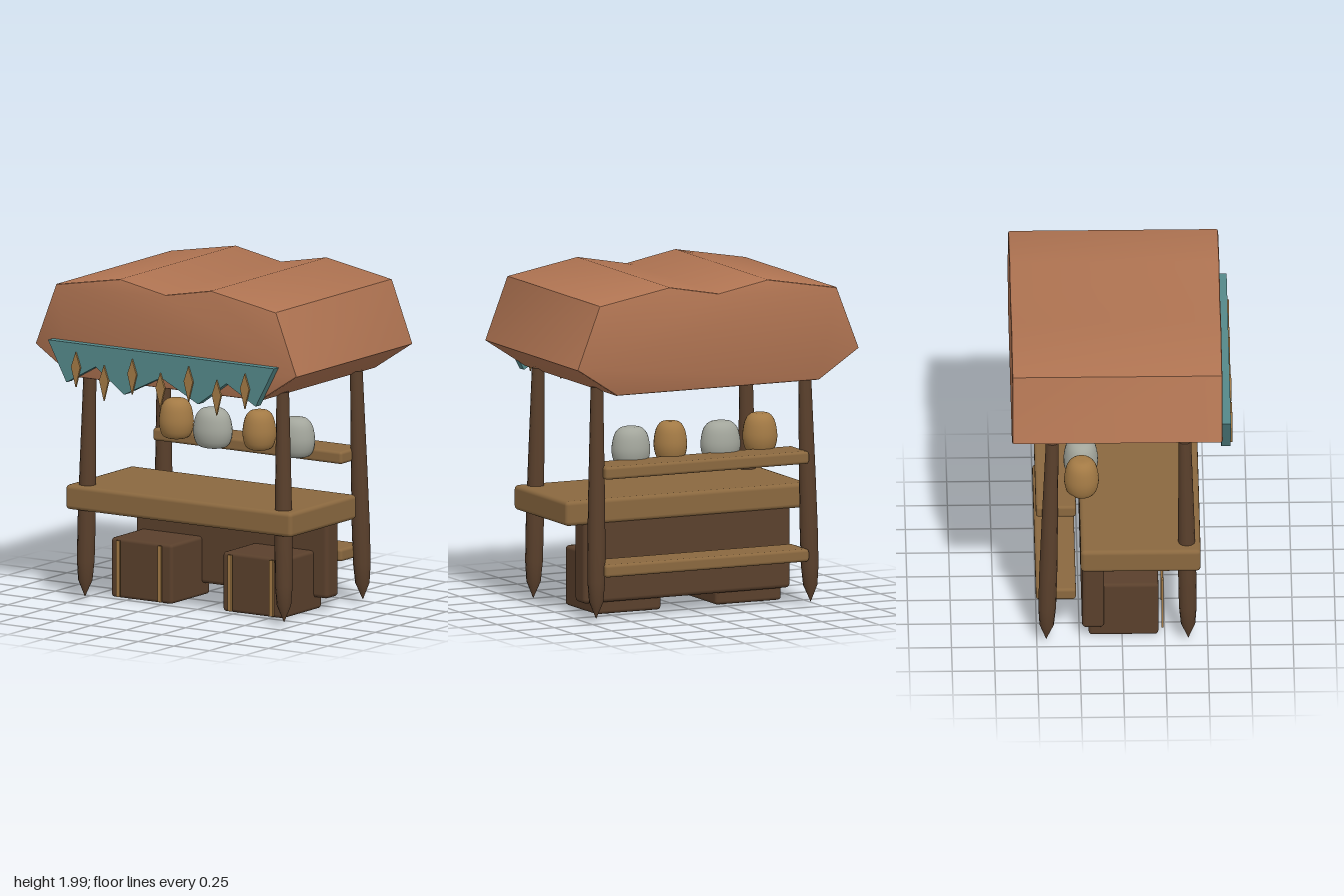
import * as THREE from 'three';
import { toCreasedNormals } from 'three/addons/utils/BufferGeometryUtils.js';
import { RoundedBoxGeometry } from 'three/addons/geometries/RoundedBoxGeometry.js';

const mat = (color, extra = {}) => new THREE.MeshStandardMaterial({ color, ...extra });
const clay = mat(0xb07452), darkWood = mat(0x5a402c), wood = mat(0x8a683f);
const teal = mat(0x55898a), stone = mat(0xa3a69c), ochre = mat(0xa37a45);

export function createModel() {
  const stall = new THREE.Group();
  stall.name = 'marketStall';

  const add = (name, geometry, material, x = 0, y = 0, z = 0) => {
    const mesh = new THREE.Mesh(geometry, material);
    mesh.name = name;
    mesh.position.set(x, y, z);
    stall.add(mesh);
    return mesh;
  };

  // Rounded box given by its extents on each axis
  const slab = (name, material, [x0, x1], [y0, y1], [z0, z1], r = 0.02) =>
    add(name, new RoundedBoxGeometry(x1 - x0, y1 - y0, z1 - z0, 2, r), material,
      (x0 + x1) / 2, (y0 + y1) / 2, (z0 + z1) / 2);

  const outline = (pts) => new THREE.Shape(pts.map(([x, y]) => new THREE.Vector2(x, y)));

  // Extrude an outline from z0 to z1, with the bevel kept inside the outline
  const extrude = (pts, z0, z1, bevel) => {
    const g = new THREE.ExtrudeGeometry(outline(pts), {
      depth: z1 - z0 - 2 * bevel, bevelEnabled: bevel > 0, bevelThickness: bevel,
      bevelSize: bevel, bevelOffset: -bevel, bevelSegments: 2,
    });
    g.translate(0, 0, z0 + bevel);
    return toCreasedNormals(g, 0.6);
  };

  // Sagging roof
  add('roof', extrude([
    [-0.66, 1.38], [0.66, 1.38], [0.92, 1.55], [0.775, 1.92], [0.32, 2.0],
    [0, 1.94], [-0.32, 2.0], [-0.775, 1.92], [-0.92, 1.55],
  ], -0.645, 0.585, 0.012), clay);

  // Zigzag awning on the front of the roof
  add('awning', extrude([
    [-0.795, 1.595], [-0.665, 1.355], [-0.46, 1.47], [-0.26, 1.325], [0, 1.455],
    [0.26, 1.325], [0.46, 1.47], [0.665, 1.355], [0.795, 1.595],
  ], 0.58, 0.635, 0), teal);

  // Diamond pendants, alternately high and low
  const diamond = extrude([[0, -0.12], [0.032, 0], [0, 0.09], [-0.032, 0]], 0.633, 0.646, 0);
  for (let i = -3; i <= 3; i++) {
    add('pendant', diamond, ochre, i * 0.198, i % 2 ? 1.455 : 1.395);
  }

  // Pointed, leaning posts
  const postProfile = [[0, 0], [0.042, 0.1], [0.052, 0.22], [0.053, 0.45], [0.048, 0.8], [0.037, 1.37], [0, 1.37]];
  const post = toCreasedNormals(new THREE.LatheGeometry(
    postProfile.map(([r, y]) => new THREE.Vector2(r, y)), 12), 0.7);
  const up = new THREE.Vector3(0, 1, 0);
  for (const side of [-1, 1]) {
    for (const [name, tipZ, topZ] of [['frontPost', 0.387, 0.367], ['backPost', -0.445, -0.41]]) {
      const lean = new THREE.Vector3(side * -0.022, 1.36, topZ - tipZ).normalize();
      add(name, post, darkWood, side * 0.7, 0.032, tipZ).quaternion.setFromUnitVectors(up, lean);
    }
  }

  // Counter, its back panel and the two rear shelves
  slab('counter', wood, [-0.795, 0.795], [0.555, 0.702], [-0.245, 0.458], 0.025);
  slab('counterPanel', darkWood, [-0.675, 0.675], [0.085, 0.6], [-0.235, -0.105], 0.025);
  for (const y of [0.28, 0.86]) {
    slab('shelf', wood, [-0.665, 0.665], [y, y + 0.075], [-0.505, -0.27], 0.018);
  }

  // Crates, each with two upright straps
  for (const x of [-0.42, 0.365]) {
    slab('crate', darkWood, [x - 0.215, x + 0.215], [0.01, 0.365], [-0.195, 0.213], 0.02);
    for (const dx of [-0.145, 0.147]) {
      add('crateStrap', new THREE.BoxGeometry(0.026, 0.335, 0.012), ochre, x + dx, 0.19, 0.238);
    }
  }

  // Jars on the upper shelf
  const jarCurve = new THREE.SplineCurve([
    [0, 0], [0.5, 0.015], [0.82, 0.1], [0.98, 0.32], [0.98, 0.55], [0.83, 0.83], [0.5, 0.985], [0, 1],
  ].map(([r, y]) => new THREE.Vector2(r, y)));
  const jarPoints = jarCurve.getPoints(20);
  jarPoints.forEach((p) => { p.x = Math.max(p.x, 0); });
  const jar = new THREE.LatheGeometry(jarPoints, 24);
  for (const [x, y, rx, h, material] of [
    [-0.472, 0.9, 0.103, 0.24, ochre], [-0.215, 0.872, 0.122, 0.238, stone],
    [0.112, 0.895, 0.098, 0.238, ochre], [0.37, 0.88, 0.117, 0.238, stone],
  ]) {
    add('jar', jar, material, x, y, -0.235).scale.set(rx, h, 0.102);
  }

  return stall;
}
